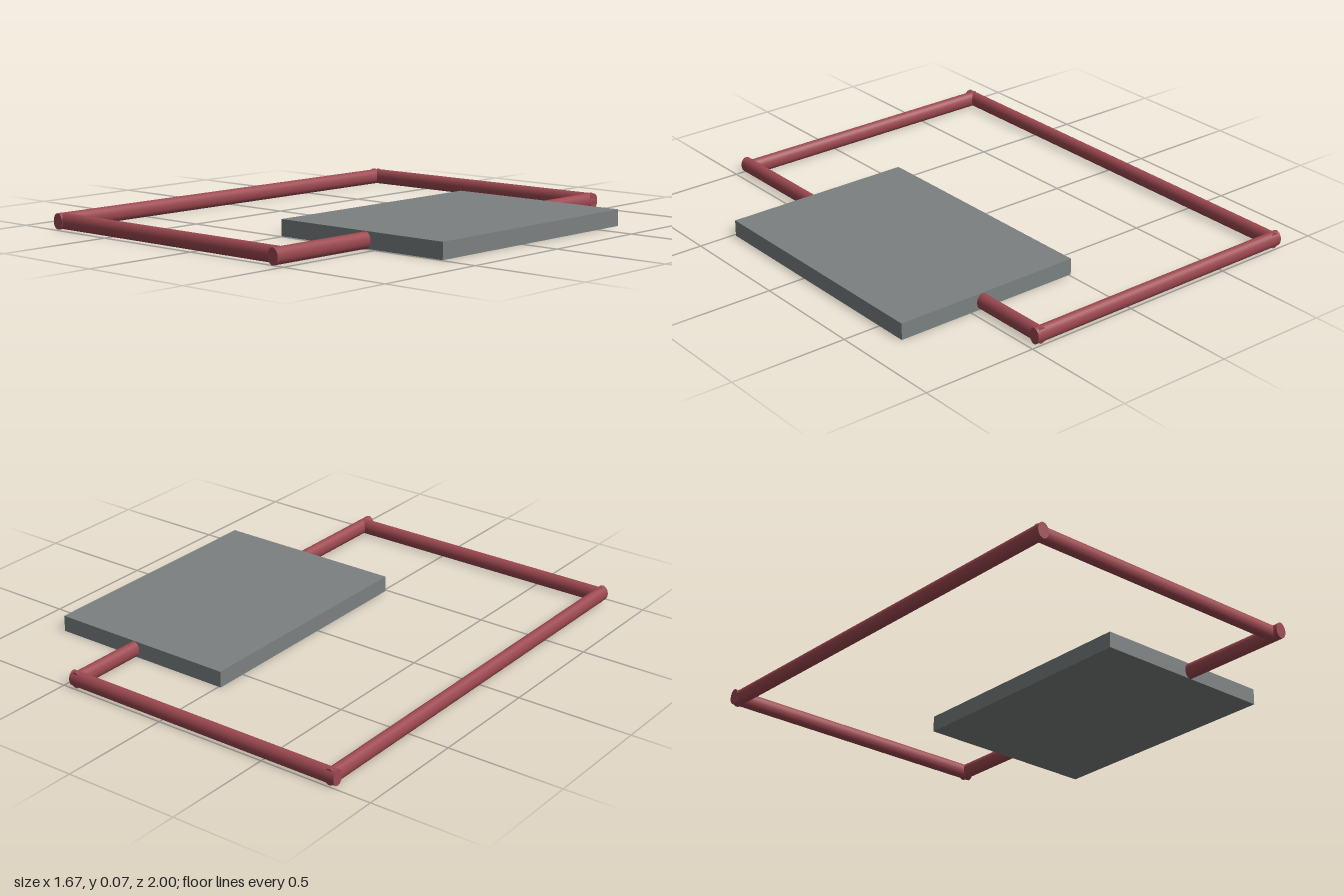
import * as THREE from 'three';

export function createModel() {
  const model = new THREE.Group();
  const red = new THREE.MeshStandardMaterial({ color: 0x9c4850 });
  const grey = new THREE.MeshStandardMaterial({ color: 0x7b8080 });
  const height = 0.068, width = 0.052;

  // Oval bar lying along x or z, from start to end, at a fixed offset on the other axis
  function bar(name, axis, start, end, offset) {
    const geo = new THREE.CylinderGeometry(0.5, 0.5, 1, 32);
    geo.rotateX(Math.PI / 2);
    geo.scale(width, height, end - start);
    if (axis === 'x') geo.rotateY(Math.PI / 2);
    const mesh = new THREE.Mesh(geo, red);
    const mid = (start + end) / 2;
    mesh.position.set(axis === 'x' ? mid : offset, height / 2, axis === 'x' ? offset : mid);
    mesh.name = name;
    model.add(mesh);
  }

  // Rectangular loop of bars
  bar('leftBar', 'z', -0.99, 1.0, 0.445);
  bar('rightBar', 'z', -0.99, 0.985, -0.809);
  bar('frontBar', 'x', -0.82, 0.445, 0.957);
  bar('backBar', 'x', -0.835, 0.47, -0.974);

  // Flat slab threaded on the left bar
  const slab = new THREE.Mesh(new THREE.BoxGeometry(0.845, 0.07, 1.13), grey);
  slab.position.set(0.4125, 0.035, -0.075);
  slab.name = 'slab';
  model.add(slab);

  return model;
}
